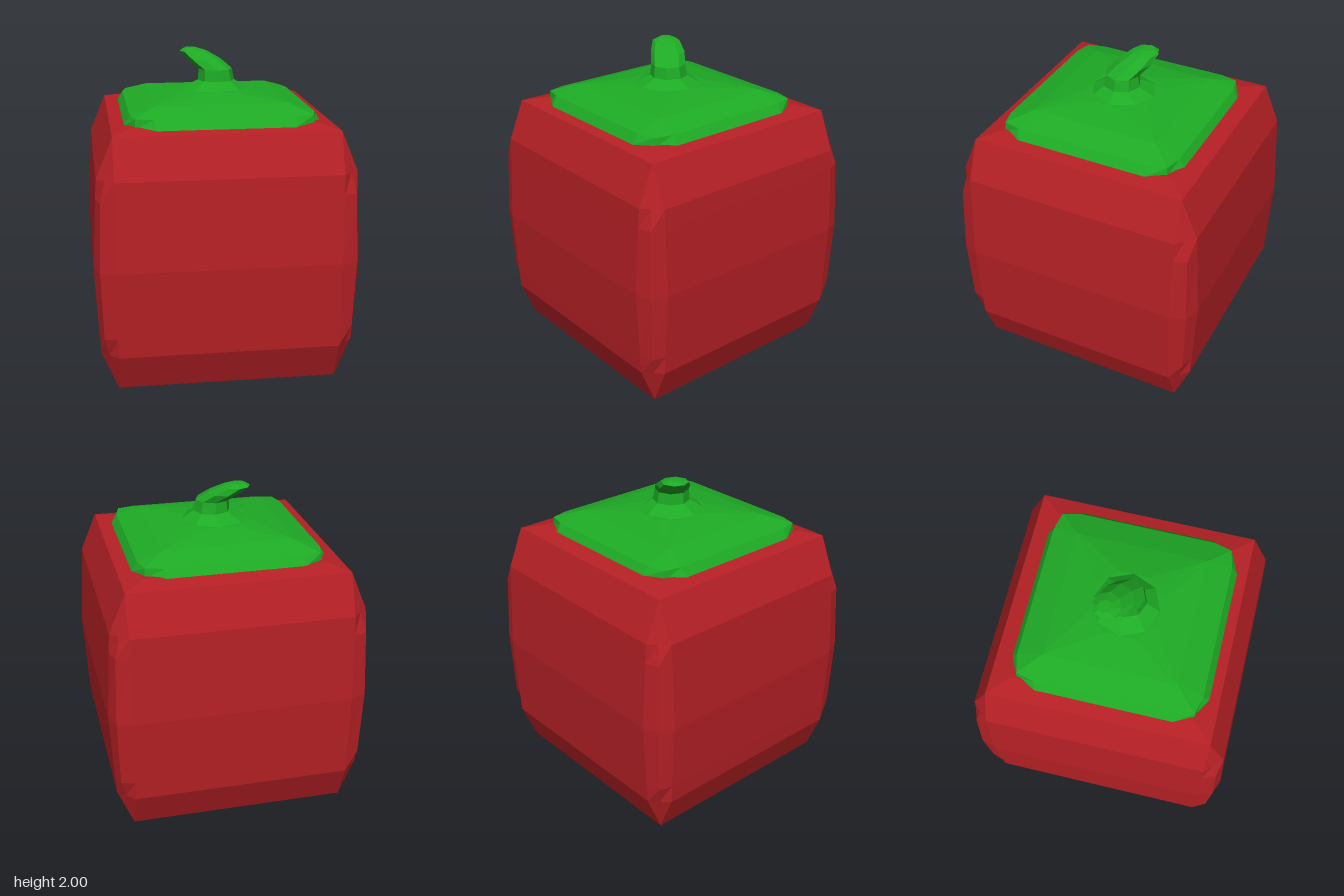
import * as THREE from 'three';

const red = new THREE.MeshStandardMaterial({ color: 0xb52025, flatShading: true });
const green = new THREE.MeshStandardMaterial({ color: 0x1eab25, flatShading: true });

// Square section with cut corners: side distance a, half flat width b, corner point c
function squareRing(y, a, b, c, cz = 0) {
  const ring = [];
  for (let k = 0; k < 4; k++) {
    for (const [u, v] of [[a, b], [c, c], [b, a]]) {
      const [x, z] = [[u, v], [-v, u], [-u, -v], [v, -u]][k];
      ring.push(new THREE.Vector3(x, y, z + cz));
    }
  }
  return ring;
}

// Regular eight-sided section
function roundRing(x, y, z, r) {
  return Array.from({ length: 8 }, (_, i) => {
    const t = (i / 8) * Math.PI * 2;
    return new THREE.Vector3(x + r * Math.cos(t), y, z + r * Math.sin(t));
  });
}

// Skins a stack of sections from bottom to top and closes both ends
function loft(rings) {
  const pos = [];
  const tri = (p, q, r) => {
    const area = q.clone().sub(p).cross(r.clone().sub(p)).length();
    if (area > 1e-7) for (const v of [p, q, r]) pos.push(v.x, v.y, v.z);
  };
  const n = rings[0].length;
  const middle = (ring) => ring.reduce((s, v) => s.add(v), new THREE.Vector3()).divideScalar(n);
  const low = rings[0], high = rings[rings.length - 1];
  const lowMid = middle(low), highMid = middle(high);
  for (let i = 0; i < n; i++) {
    const j = (i + 1) % n;
    for (let k = 0; k < rings.length - 1; k++) {
      const a = rings[k], b = rings[k + 1];
      tri(a[i], b[i], a[j]);
      tri(a[j], b[i], b[j]);
    }
    tri(lowMid, low[i], low[j]);
    tri(highMid, high[j], high[i]);
  }
  const g = new THREE.BufferGeometry();
  g.setAttribute('position', new THREE.Float32BufferAttribute(pos, 3));
  g.computeVertexNormals();
  return g;
}

export function createModel() {
  const model = new THREE.Group();
  const add = (name, rings, material) => {
    const mesh = new THREE.Mesh(loft(rings), material);
    mesh.name = name;
    model.add(mesh);
  };

  // Bulging cube body with bevelled corners
  add('body', [
    [0, 0.54, 0.54, 0.54],
    [0.04, 0.67, 0.67, 0.67],
    [0.28, 0.77, 0.67, 0.72],
    [0.40, 0.777, 0.67, 0.75],
    [0.82, 0.80, 0.67, 0.765],
    [1.24, 0.777, 0.67, 0.75],
    [1.36, 0.77, 0.67, 0.72],
    [1.60, 0.67, 0.67, 0.67],
    [1.63, 0.55, 0.55, 0.55],
  ].map((r) => squareRing(...r)), red);

  // Leafy cap sitting on the top
  add('cap', [
    [1.615, 0.593, 0.41, 0.533],
    [1.675, 0.555, 0.42, 0.528],
    [1.725, 0.40, 0.38, 0.40],
    [1.76, 0.20, 0.09, 0.15],
  ].map((r) => squareRing(...r, 0.015)), green);

  // Stem flaring at the base and leaning to the back right
  add('stem', [
    [0, 1.755, 0.015, 0.21],
    [0.015, 1.81, 0.02, 0.115],
    [0.01, 1.88, 0.02, 0.105],
    [-0.055, 1.935, -0.03, 0.105],
    [-0.12, 1.982, -0.07, 0.085],
    [-0.135, 2.0, -0.08, 0.04],
  ].map((r) => roundRing(...r)), green);

  return model;
}
